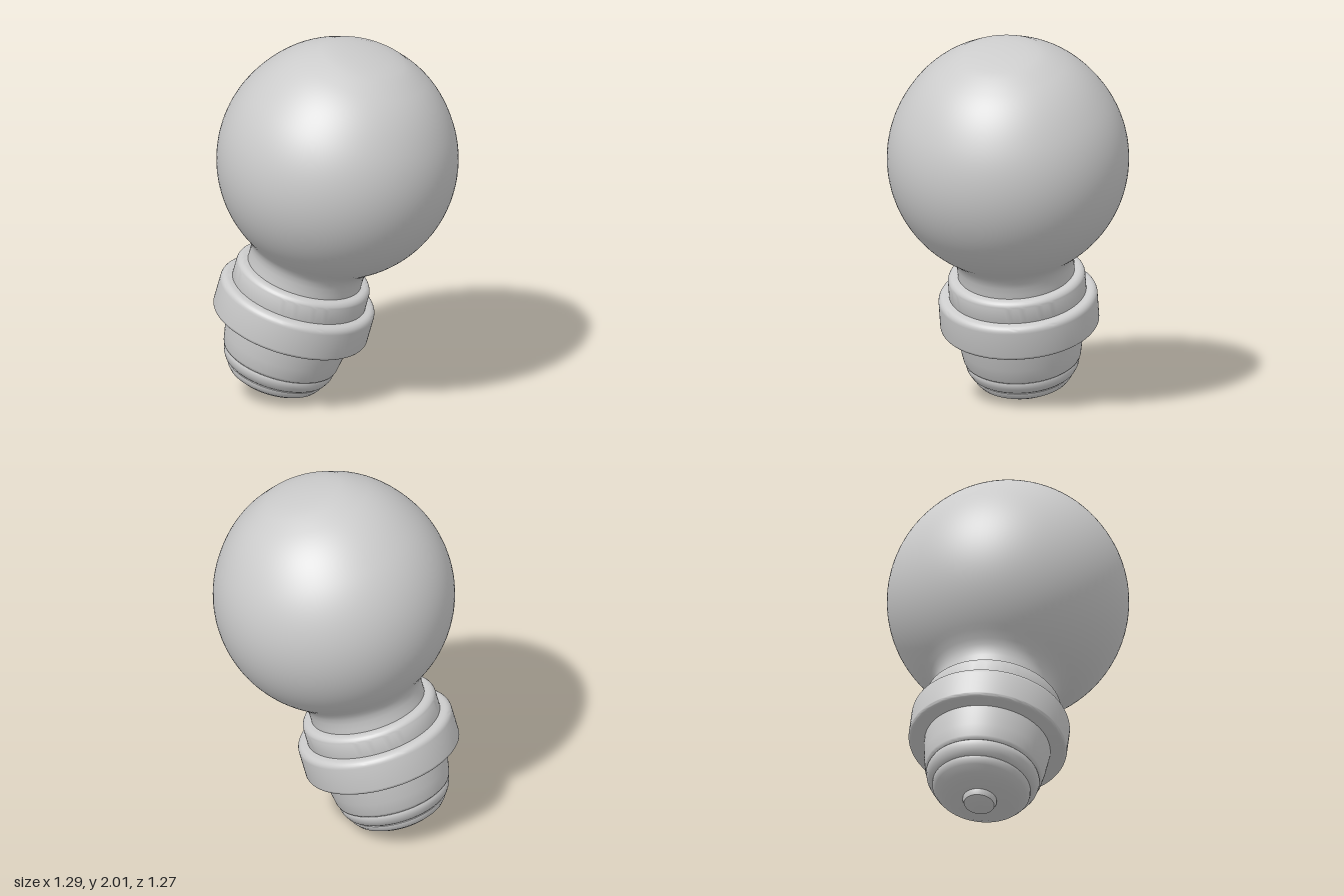
import * as THREE from 'three';
import { toCreasedNormals } from 'three/addons/utils/BufferGeometryUtils.js';

const material = new THREE.MeshStandardMaterial({ color: 0xcccccc, side: THREE.DoubleSide });

// Turn a profile of [radius, height] pairs about the bulb's axis
function turned(name, profile, crease = 0.6) {
  const points = profile.map(([r, h]) => new THREE.Vector2(r, h));
  const geometry = toCreasedNormals(new THREE.LatheGeometry(points, 96), crease);
  const mesh = new THREE.Mesh(geometry, material);
  mesh.name = name;
  return mesh;
}

// Collar profile with rounded outer corners
function collar(inner, outer, bottom, top, lowRound, highRound) {
  const profile = [[inner, bottom]];
  const steps = 6;
  for (let i = 0; i <= steps; i++) {
    const a = (i / steps) * Math.PI / 2;
    profile.push([outer - lowRound + lowRound * Math.sin(a), bottom + lowRound - lowRound * Math.cos(a)]);
  }
  for (let i = 0; i <= steps; i++) {
    const a = (i / steps) * Math.PI / 2;
    profile.push([outer - highRound + highRound * Math.cos(a), top - highRound + highRound * Math.sin(a)]);
  }
  profile.push([inner, top]);
  return profile;
}

export function createModel() {
  const model = new THREE.Group();
  const bulb = new THREE.Group();
  bulb.name = 'lightBulb';
  model.add(bulb);

  // Glass: straight neck, flared into a globe with a slightly flattened crown
  const R = 0.637, centre = 1.395;
  const glass = [[0.308, 0.66], [0.308, 0.74], [0.309, 0.775], [0.315, 0.805], [0.328, 0.832], [0.348, 0.856]];
  for (let i = 0; i <= 44; i++) {
    const a = THREE.MathUtils.lerp(0.65, Math.PI - 0.5, i / 44);
    const bulge = 0.008 * THREE.MathUtils.smoothstep(a, 2.1, 2.6);
    glass.push([(R + bulge) * Math.sin(a), centre - (R + bulge) * Math.cos(a)]);
  }
  glass.push([0.25, centre + 0.599], [0.2, centre + 0.615], [0.14, centre + 0.626], [0.07, centre + 0.632], [0, centre + 0.634]);
  bulb.add(turned('glassGlobe', glass, 1));

  // Stepped collars
  bulb.add(turned('upperCollar', collar(0.28, 0.362, 0.57, 0.715, 0.005, 0.035)));
  bulb.add(turned('wideCollar', collar(0.28, 0.419, 0.405, 0.598, 0.02, 0.035)));

  // Tapered cap body
  bulb.add(turned('capBody', [
    [0.334, 0.43], [0.332, 0.38], [0.322, 0.29], [0.31, 0.222], [0.305, 0.21], [0.296, 0.203], [0.2, 0.2],
  ].reverse()));

  // Rounded band under the body
  bulb.add(turned('capBand', [
    [0.2, 0.125], [0.262, 0.127], [0.28, 0.14], [0.294, 0.165], [0.3, 0.19], [0.296, 0.202], [0.285, 0.208], [0.2, 0.21],
  ]));

  // Domed end and contact button
  bulb.add(turned('endDome', [
    [0, 0.036], [0.09, 0.038], [0.15, 0.045], [0.2, 0.06], [0.24, 0.083], [0.258, 0.105], [0.26, 0.122], [0.25, 0.135],
  ]));
  bulb.add(turned('contactButton', [[0, 0], [0.065, 0], [0.08, 0.006], [0.09, 0.03], [0.09, 0.05]]));

  // Lean the whole bulb to one side and back
  const axis = new THREE.Vector3(0.257, 0.962, -0.095).normalize();
  bulb.quaternion.setFromUnitVectors(new THREE.Vector3(0, 1, 0), axis);
  bulb.position.set(0.01, 1.365, 0).addScaledVector(axis, -centre);
  return model;
}
